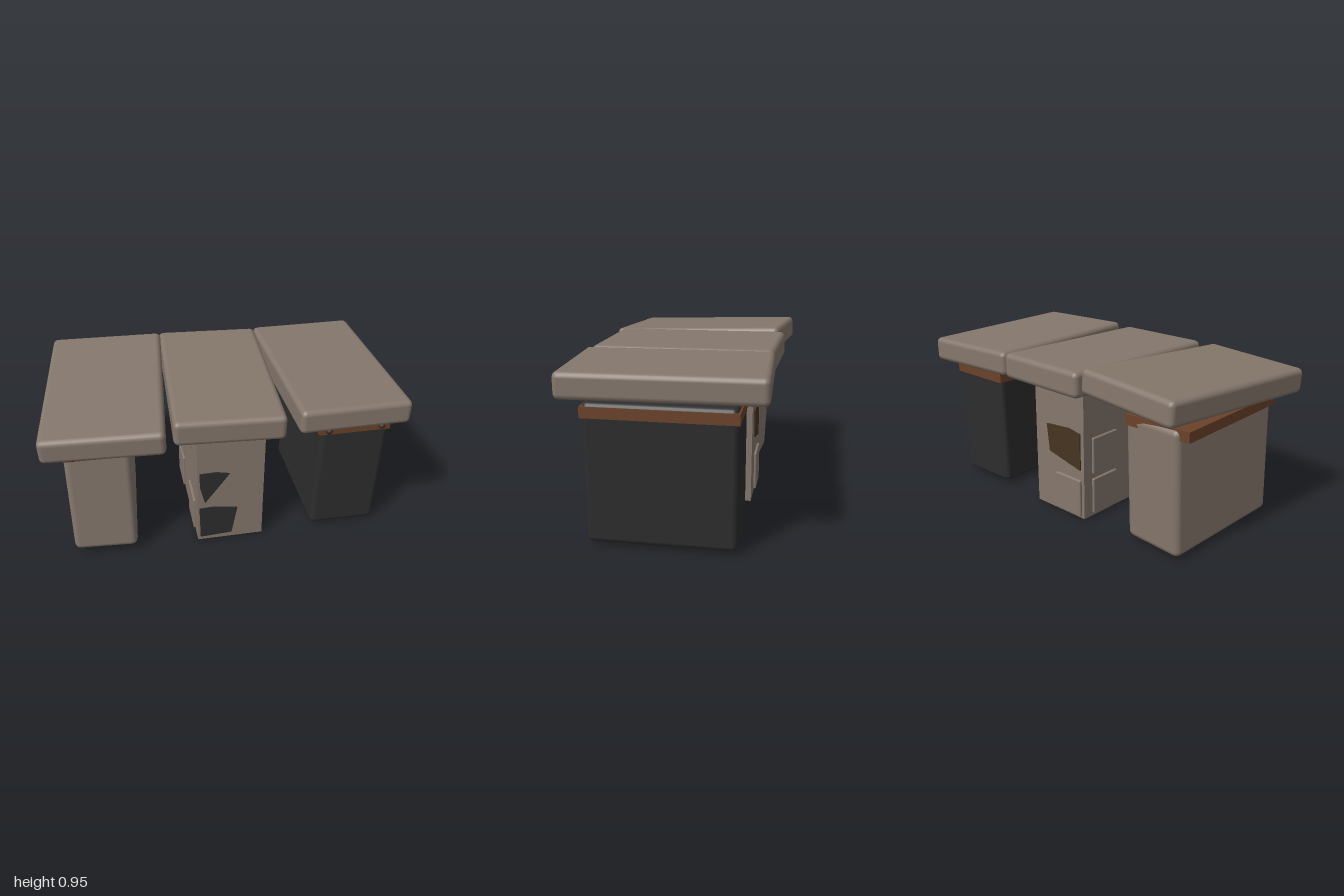
import * as THREE from 'three';
import { RoundedBoxGeometry } from 'three/addons/geometries/RoundedBoxGeometry.js';

const mat = (name, color) => {
  const m = new THREE.MeshStandardMaterial({ color });
  m.name = name;
  return m;
};

export function createModel() {
  const stone = mat('stone', 0x85776c);
  const black = mat('black stone', 0x2d2d2d);
  const rust = mat('rusty metal', 0x6b4229);
  const rivetMat = mat('dark rivet', 0x3f2a1e);
  const bronze = mat('dark bronze', 0x463421);

  const model = new THREE.Group();
  const add = (name, geometry, material, pos, rot = [0, 0, 0], parent = model) => {
    const mesh = new THREE.Mesh(geometry, material);
    mesh.name = name;
    mesh.position.set(...pos);
    mesh.rotation.set(...rot, 'YXZ');
    parent.add(mesh);
    return mesh;
  };
  const block = (w, h, d, r) => new RoundedBoxGeometry(w, h, d, 2, r);

  // Roof slabs, each laid slightly askew
  add('rightRoofSlab', block(0.65, 0.14, 1.05, 0.03), stone, [-0.625, 0.853, 0], [0.045, -0.095, 0.03]);
  add('middleRoofSlab', block(0.6, 0.145, 1.03, 0.03), stone, [0.017, 0.853, -0.003], [0.012, -0.045, -0.015]);
  add('leftRoofSlab', block(0.625, 0.14, 1.035, 0.03), stone, [0.663, 0.853, -0.004], [0, 0.033, -0.017]);

  // Outer legs
  add('rightLeg', block(0.362, 0.72, 0.775, 0.035), stone, [-0.68, 0.39, 0], [-0.04, -0.07, 0]);
  add('leftLeg', block(0.395, 0.74, 0.77, 0.03), black, [0.721, 0.392, 0], [0, 0.005, -0.024]);

  // Metal collars with rivets around the tops of the outer legs
  const rivet = new THREE.SphereGeometry(0.02, 12, 8);
  [['right', -0.683, -0.015], ['left', 0.725, -0.005]].forEach(([side, x, roll]) => {
    const collar = new THREE.Group();
    collar.name = side + 'Collar';
    collar.position.set(x, 0.71, 0);
    add('collarBand', new THREE.BoxGeometry(0.41, 0.058, 0.785), rust, [0, 0, 0], [0, 0, roll], collar);
    for (const s of [-1, 1]) add('collarRivet', rivet, rivetMat, [s * 0.153, 0, 0.396], [0, 0, 0], collar);
    model.add(collar);
  });

  // Middle pillar
  add('pillar', new THREE.BoxGeometry(0.385, 0.76, 0.77), stone, [0.0225, 0.39, 0]);

  // Irregular flat patches, drawn on a plane and turned to face outwards
  const patch = (name, pts, material, pos, yaw) => {
    const shape = new THREE.Shape(pts.map(([x, y]) => new THREE.Vector2(x, y)));
    add(name, new THREE.ExtrudeGeometry(shape, { depth: 0.008, bevelEnabled: false }), material, pos, [0, yaw, 0]);
  };
  patch('frontLowerPatch', [[-0.16, 0.25], [-0.155, 0.035], [0.03, 0.045], [0.062, 0.23], [-0.08, 0.252]], black, [0, 0, 0.384], 0);
  patch('frontUpperPatch', [[-0.158, 0.5], [-0.155, 0.4], [-0.128, 0.29], [0.015, 0.485], [-0.06, 0.502]], black, [0, 0, 0.384], 0);
  patch('sidePatch', [[-0.31, 0.02], [-0.16, 0.07], [-0.12, 0.235], [-0.22, 0.255], [-0.31, 0.24]], black, [0.214, 0, 0], Math.PI / 2);
  patch('backPatch', [[-0.12, 0.53], [-0.1, 0.365], [0.145, 0.31], [0.145, 0.53], [0.06, 0.545]], bronze, [0, 0, -0.384], Math.PI);

  // Raised stone panels: centre, then size
  [
    [[0.213, 0.65, -0.225], [0.03, 0.21, 0.2]],
    [[0.213, 0.385, 0.1], [0.02, 0.22, 0.17]],
    [[-0.17, 0.65, 0.1], [0.03, 0.21, 0.2]],
    [[-0.17, 0.385, -0.22], [0.024, 0.22, 0.2]],
    [[-0.17, 0.135, -0.22], [0.026, 0.22, 0.2]],
    [[-0.17, 0.135, 0.2], [0.026, 0.22, 0.2]],
    [[-0.05, 0.135, -0.385], [0.2, 0.23, 0.03]],
    [[-0.09, 0.012, 0.07], [0.09, 0.018, 0.12]],
  ].forEach(([p, s]) => add('pillarPanel', block(...s, 0.008), stone, p));

  // Small studs on the pillar side
  for (const [y, z] of [[0.22, 0.35], [0.09, -0.27]])
    add('pillarStud', new THREE.SphereGeometry(0.01, 8, 6), rivetMat, [0.215, y, z]);

  return model;
}
